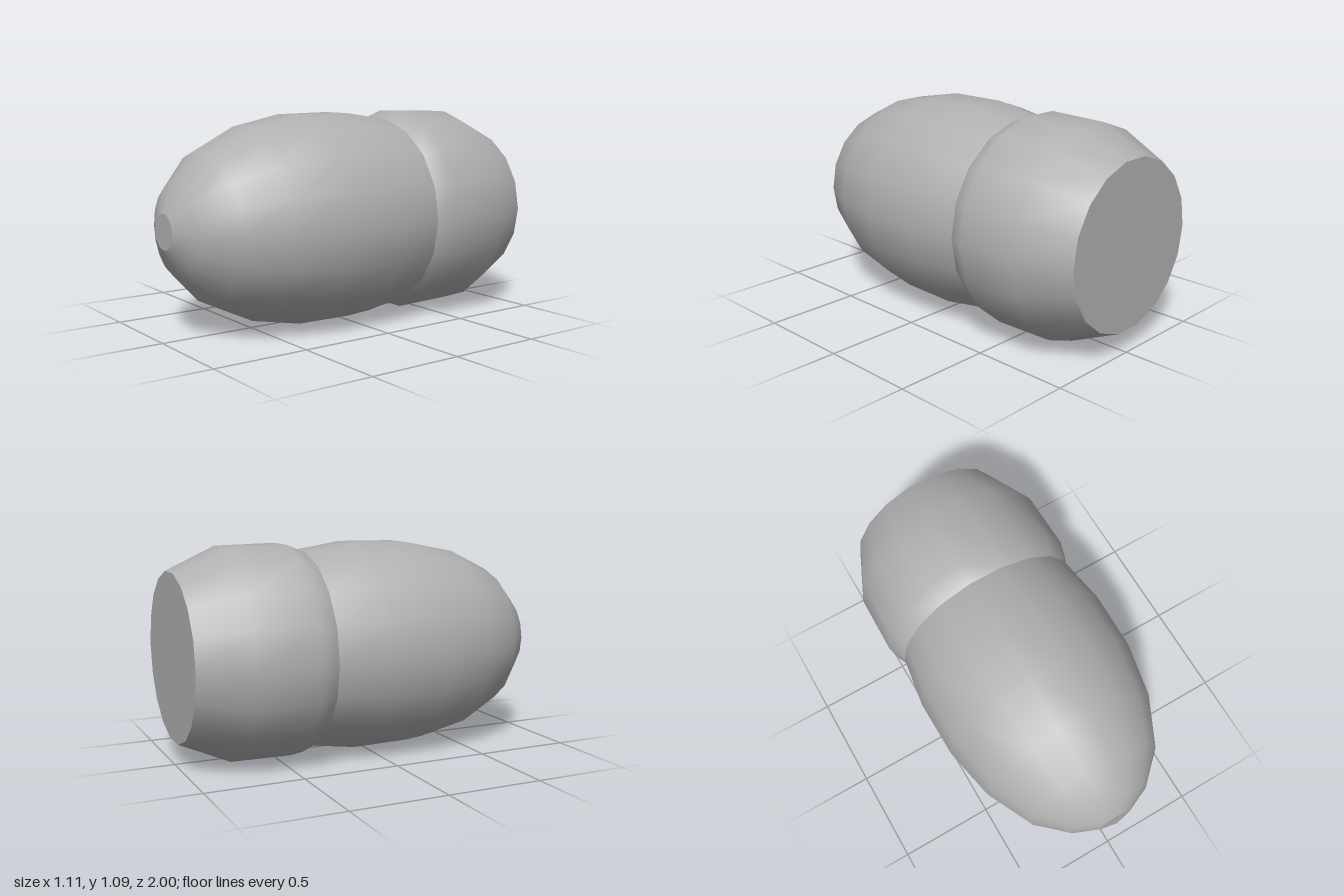
import * as THREE from 'three';

const SIDES = 18;
const CENTRE_Y = 0.545;

export function createModel() {
  const model = new THREE.Group();
  model.name = 'capsule';
  const grey = new THREE.MeshStandardMaterial({ color: 0xb0b0b0 });
  grey.name = 'grey';

  const add = (name, geometry) => {
    const mesh = new THREE.Mesh(geometry, grey);
    mesh.name = name;
    mesh.position.y = CENTRE_Y;
    model.add(mesh);
    return mesh;
  };

  // Revolve a [z, radius] profile, listed from back to front, around the z axis
  const revolve = (profile) =>
    new THREE.LatheGeometry(
      profile.map(([z, r]) => new THREE.Vector2(r, z)), SIDES, Math.PI / 2
    ).rotateX(Math.PI / 2);

  // Long rounded front body, its tail running inside the rear body
  add('frontBody', revolve([
    [-0.6, 0.44], [-0.32, 0.512], [-0.05, 0.553], [0.26, 0.549], [0.54, 0.493],
    [0.77, 0.382], [0.92, 0.225], [0.98, 0.09],
  ]));

  // Shorter rear body, its rounded nose running inside the front body
  add('rearBody', revolve([
    [-1, 0.43], [-0.74, 0.547], [-0.42, 0.553], [-0.32, 0.512], [-0.17, 0.42],
  ]));

  // Shallow nose cap, shaded as one even facet
  const nose = revolve([[0.98, 0.09], [1, 0]]);
  const normals = nose.attributes.normal;
  for (let i = 0; i < normals.count; i++) normals.setXYZ(i, 0, 0, 1);
  add('noseCap', nose);

  // Flat disc closing the back
  const back = add('backCap', new THREE.CircleGeometry(0.43, SIDES).rotateY(Math.PI));
  back.position.z = -1;

  return model;
}
